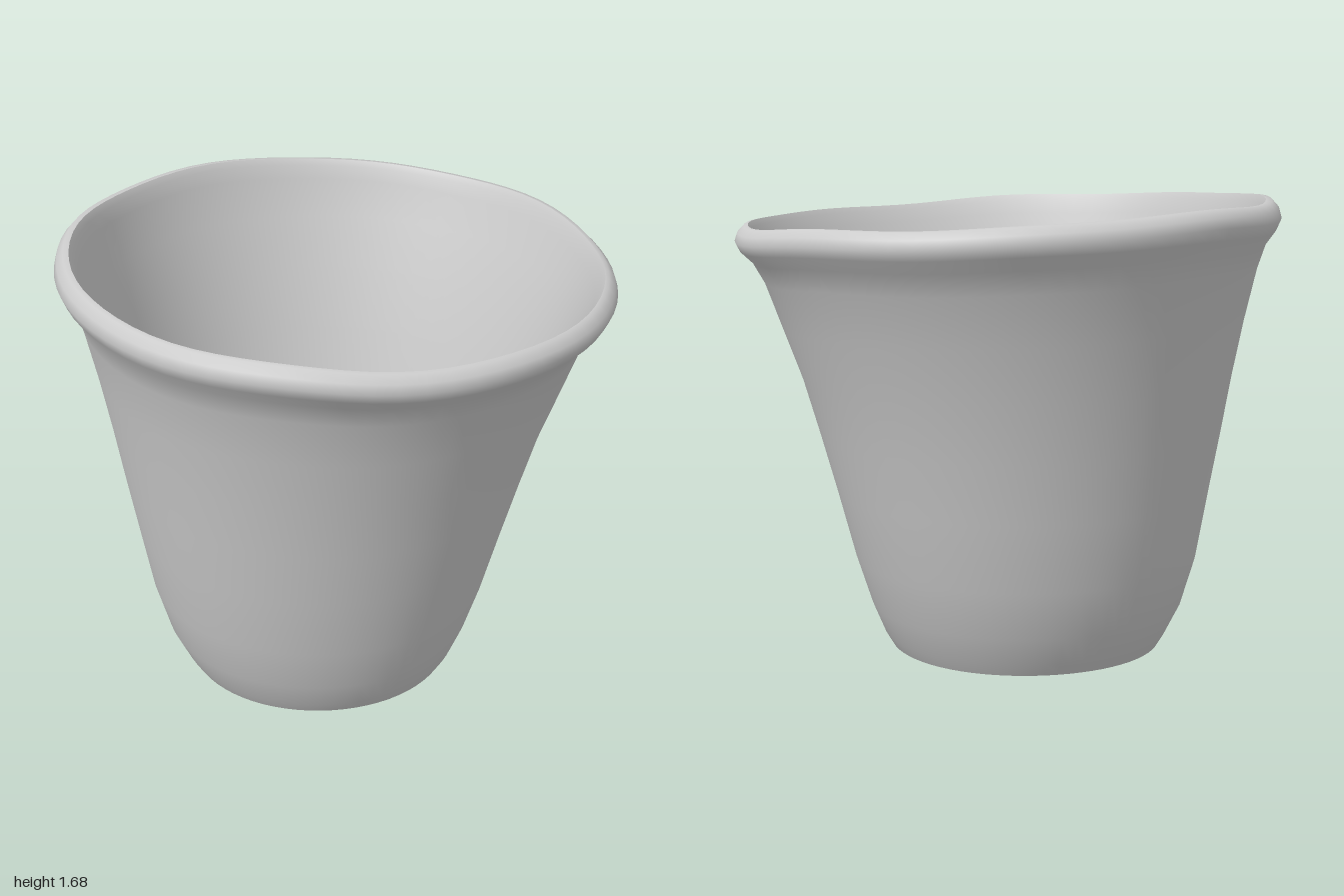
import * as THREE from 'three';
import { mergeVertices, toCreasedNormals } from 'three/addons/utils/BufferGeometryUtils.js';

// Closed wall section: [radius, height, centre x, centre z] of each ring,
// from the drain hole across the underside, up the outside and back down the inside
const rings = [
  [0.04, 0.055, -0.18, 0.03],
  [0.05, 0.03, -0.18, 0.03],
  [0.075, 0.013, -0.17, 0.025],
  [0.13, 0.004, -0.15, 0.01],
  [0.25, 0.0, -0.11, -0.02],
  [0.4, 0.006, -0.07, -0.04],
  [0.508, 0.015, -0.055, -0.045],
  [0.535, 0.06, -0.055, -0.045],
  [0.585, 0.17, -0.055, -0.05],
  [0.64, 0.35, -0.05, -0.05],
  [0.695, 0.6, -0.045, -0.04],
  [0.745, 0.82, -0.037, -0.033],
  [0.793, 1.03, -0.028, -0.025],
  [0.848, 1.23, -0.015, -0.015],
  [0.9, 1.41, -0.005, -0.01],
  [0.935, 1.49, 0, -0.005],
  [0.975, 1.535, 0, 0],
  [0.992, 1.572, 0, 0],
  [0.982, 1.605, 0, 0],
  [0.958, 1.63, 0, 0],
  [0.94, 1.632, 0, 0.005],
  [0.927, 1.61, 0, 0.005],
  [0.912, 1.56, 0, 0],
  [0.86, 1.42, -0.005, -0.01],
  [0.805, 1.23, -0.015, -0.015],
  [0.74, 1.0, -0.028, -0.025],
  [0.65, 0.6, -0.043, -0.04],
  [0.59, 0.35, -0.045, -0.05],
  [0.525, 0.18, -0.04, -0.055],
  [0.455, 0.09, -0.03, -0.055],
  [0.3, 0.088, -0.07, -0.03],
  [0.15, 0.085, -0.14, 0.01],
  [0.075, 0.075, -0.17, 0.025],
  [0.05, 0.065, -0.18, 0.03],
  [0.04, 0.055, -0.18, 0.03],
];

function potGeometry() {
  const geo = new THREE.LatheGeometry(rings.map(([r, y]) => new THREE.Vector2(r, y)), 72);
  const pos = geo.attributes.position;
  for (let i = 0; i < pos.count; i++) {
    const [r, h, cx, cz] = rings[i % rings.length];
    const x = pos.getX(i), z = pos.getZ(i);
    const a = Math.atan2(z, x);
    // The mouth leans down toward the front left, with a slight hand-made ripple
    const lean = Math.pow(h / 1.6, 3);
    const ripple = 0.004 * Math.sin(5 * a + 1) + 0.003 * Math.sin(8 * a);
    const y = h + lean * (-0.025 * x - 0.038 * z + ripple);
    // Walls are slightly out of round
    const k = 1 + (r > 0.4 ? 0.004 * Math.cos(4 * a) : 0);
    pos.setXYZ(i, x * k + cx, y, z * k + cz);
  }
  geo.deleteAttribute('uv');
  geo.deleteAttribute('normal');
  return toCreasedNormals(mergeVertices(geo, 1e-4), 0.9);
}

export function createModel() {
  const group = new THREE.Group();
  group.name = 'flowerPot';
  const material = new THREE.MeshStandardMaterial({ color: 0xcccccc });
  const pot = new THREE.Mesh(potGeometry(), material);
  pot.name = 'potWallWithDrainHole';
  group.add(pot);
  return group;
}
